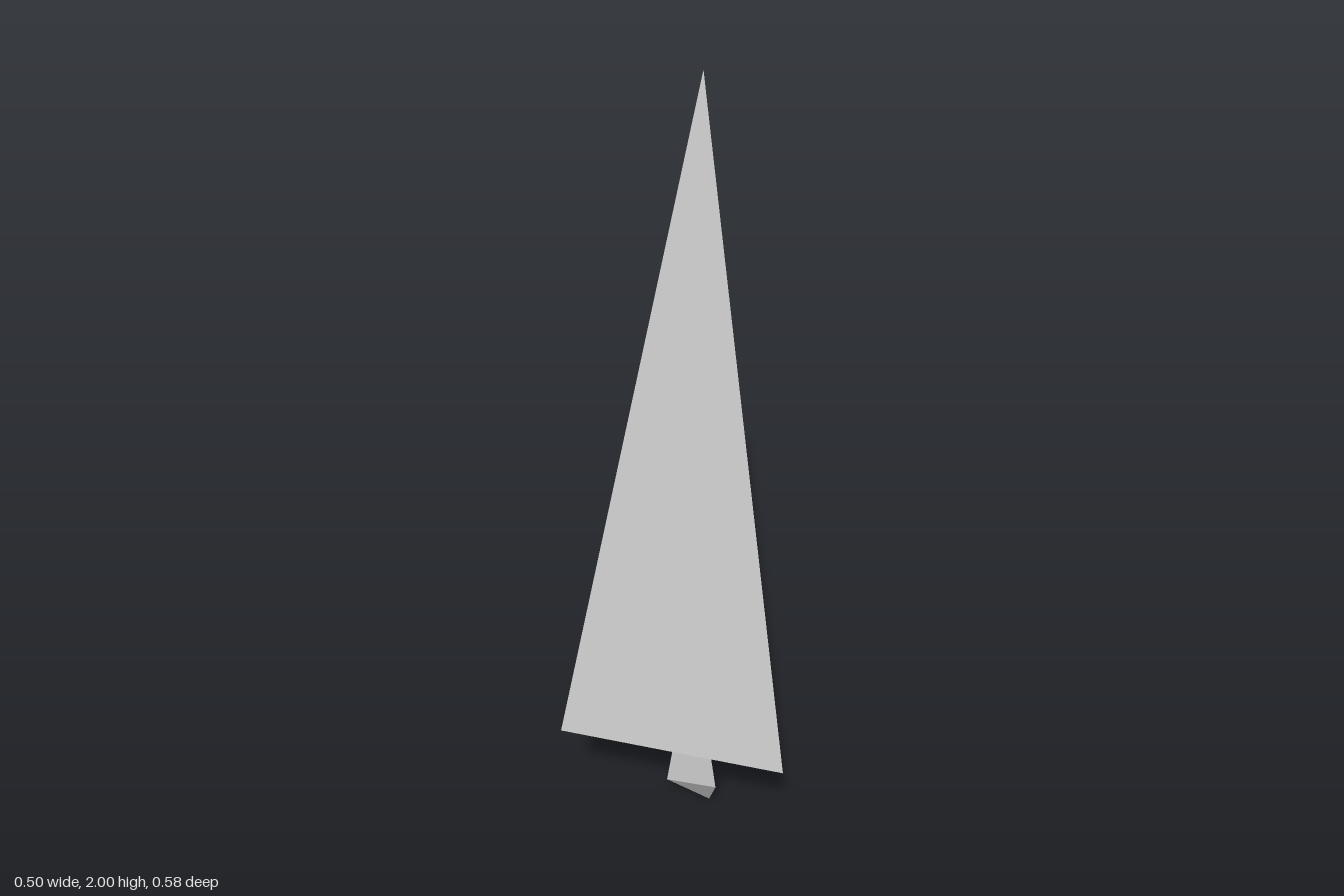
import * as THREE from 'three';

const material = new THREE.MeshStandardMaterial({ color: 0xcccccc, flatShading: true });

// Faceted solid: a bottom point, three-cornered rings going up, a top point.
// Ring corners run counter-clockwise seen from above.
function facetedSolid(name, bottom, rings, top) {
  const positions = [];
  const tri = (a, b, c) => positions.push(...a, ...b, ...c);
  const last = rings.length - 1;
  for (let i = 0; i < 3; i++) {
    const j = (i + 1) % 3;
    tri(rings[0][j], rings[0][i], bottom);
    for (let k = 0; k < last; k++) {
      const lower = rings[k], upper = rings[k + 1];
      tri(lower[i], lower[j], upper[j]);
      tri(lower[i], upper[j], upper[i]);
    }
    tri(rings[last][i], rings[last][j], top);
  }
  const geometry = new THREE.BufferGeometry();
  geometry.setAttribute('position', new THREE.Float32BufferAttribute(positions, 3));
  geometry.computeVertexNormals();
  const mesh = new THREE.Mesh(geometry, material);
  mesh.name = name;
  return mesh;
}

const centre = (ring) => [0, 1, 2].map((k) => (ring[0][k] + ring[1][k] + ring[2][k]) / 3);

export function createModel() {
  const group = new THREE.Group();
  group.name = 'tree';

  // Tall three-sided crown with a flat, slightly tilted underside
  const crownBase = [[-0.252, 0.355, -0.293], [-0.198, 0.376, 0.29], [0.25, 0.379, -0.035]];
  group.add(facetedSolid('crown', centre(crownBase), [crownBase], [-0.097, 2, -0.073]));

  // Trunk flaring downward, ending in a pointed root
  const trunkFoot = [[-0.155, 0.065, -0.125], [-0.12, 0.105, 0.03], [-0.005, 0.125, -0.037]];
  const trunkTop = [[-0.103, 0.375, -0.055], [-0.094, 0.375, 0], [-0.037, 0.375, -0.025]];
  group.add(facetedSolid('trunk', [-0.078, 0, -0.075], [trunkFoot, trunkTop], centre(trunkTop)));

  return group;
}
